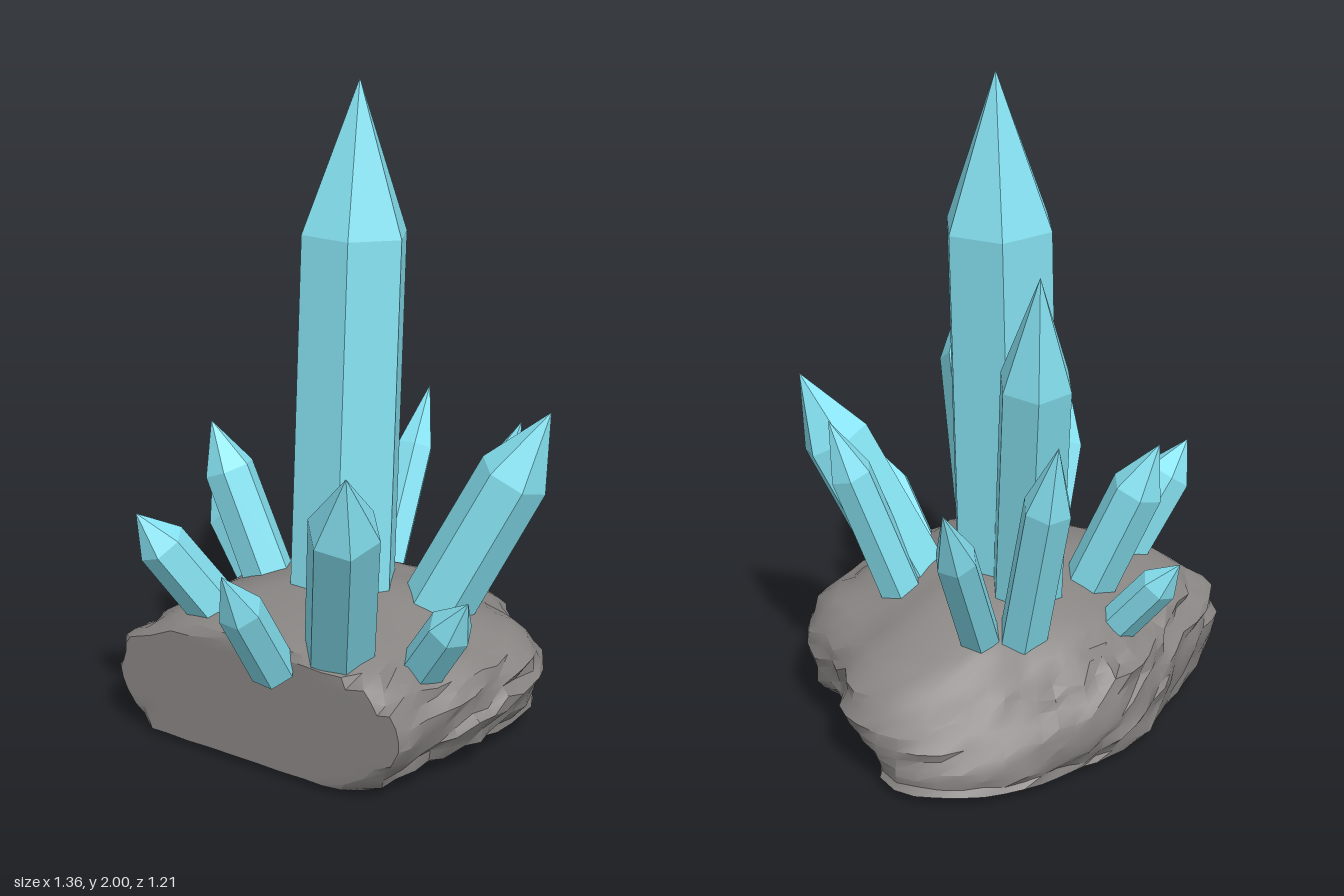
import * as THREE from 'three';
import { toCreasedNormals } from 'three/addons/utils/BufferGeometryUtils.js';

const UP = new THREE.Vector3(0, 1, 0);
const crystalMaterial = new THREE.MeshStandardMaterial({ color: 0x86e2f2, flatShading: true });
const rockMaterial = new THREE.MeshStandardMaterial({ color: 0x878482 });

// Repeatable noise in -1..1
function hash(i, j) {
  const s = Math.sin(i * 127.1 + j * 311.7) * 43758.5453;
  return 2 * (s - Math.floor(s)) - 1;
}

// Six-sided prism with a pointed end, running from base to tip
function crystal(name, base, tip, radius, shoulder = 0.72, phase = 0) {
  const from = new THREE.Vector3(...base);
  const axis = new THREE.Vector3(...tip).sub(from);
  const length = axis.length();
  const profile = [[0, 0], [radius * 1.04, 0], [radius, length * shoulder], [0, length]]
    .map(([x, y]) => new THREE.Vector2(x, y));
  const mesh = new THREE.Mesh(new THREE.LatheGeometry(profile, 6, phase), crystalMaterial);
  mesh.position.copy(from);
  mesh.quaternion.setFromUnitVectors(UP, axis.normalize());
  mesh.name = name;
  return mesh;
}

// Hollows in the rock flank: [angle from +x towards +z, angular width, level, level width, depth]
const HOLLOWS = [
  [0.47, 0.27, 0, 0.24, 0.4],   // undercut at the front corner
  [-0.45, 0.3, 0.45, 0.2, 0.1], // straighter slope towards the back
  [-0.9, 0.35, 0, 0.2, 0.07],   // undercut at the back
];
function hollow(angle, level) {
  return HOLLOWS.reduce((sum, [a, aw, l, lw, depth]) =>
    sum + depth * Math.exp(-(((angle - a) / aw) ** 2) - ((level - l) / lw) ** 2), 0);
}

// Rock: plan outline scaled ring by ring, with a different side profile in each direction
function rock() {
  const outline = new THREE.CatmullRomCurve3([
    [-0.56, -0.5], [-0.36, -0.56], [-0.1, -0.54], [0.1, -0.545], [0.31, -0.5], [0.47, -0.4],
    [0.61, -0.24], [0.7, -0.02], [0.69, 0.24], [0.5, 0.39], [0.28, 0.57], [0, 0.58],
    [-0.2, 0.51], [-0.45, 0.46], [-0.58, 0.2], [-0.62, -0.2],
  ].map(([x, z]) => new THREE.Vector3(x, 0, z)), true);

  // Each profile: [fraction of the outline, height]
  const profile = (points) => new THREE.CatmullRomCurve3(
    points.map(([f, y]) => new THREE.Vector3(f, y, 0)));
  const right = profile([[0.98, 0.025], [0.95, 0.08], [0.94, 0.15], [0.84, 0.24], [0.69, 0.32], [0.49, 0.4], [0.28, 0.47], [0, 0.5]]);
  const front = profile([[0.7, 0.015], [0.88, 0.08], [1, 0.2], [0.97, 0.29], [0.86, 0.37], [0.63, 0.42], [0.35, 0.48], [0, 0.51]]);
  const left = profile([[0.76, 0.02], [0.9, 0.12], [1, 0.22], [0.94, 0.3], [0.8, 0.37], [0.6, 0.44], [0.3, 0.49], [0, 0.51]]);
  const back = profile([[0.94, 0.025], [0.98, 0.1], [1, 0.2], [0.97, 0.28], [0.88, 0.34], [0.64, 0.42], [0.35, 0.48], [0, 0.51]]);

  const around = 56, rows = 18;
  const positions = [0, 0, 0], index = []; // vertex 0 is the centre of the underside
  for (let j = 0; j <= rows; j++) {
    for (let i = 0; i < around; i++) {
      const p = outline.getPoint(i / around);
      const t = j / rows;
      const a = Math.atan2(p.z, p.x), c = Math.cos(a) ** 2, s = Math.sin(a) ** 2;
      const shape = (p.x > 0 ? right : left).getPoint(t).multiplyScalar(c)
        .addScaledVector((p.z > 0 ? front : back).getPoint(t), s);
      // Chipped ledges on the front and back flanks, smooth elsewhere
      const rough = t > 0.62 ? 0 : (0.3 + 0.7 * s) * (j ? 1 : 0.3);
      const chip = hash(Math.floor((i + j * 2) / 3), Math.floor(j / 2)) * 0.035 + hash(i, j) * 0.018;
      const f = shape.x + rough * (chip - 0.02) - hollow(a, t);
      const y = Math.max(0.005, shape.y + rough * hash(j, i + 9) * 0.014);
      const z = p.z * f;
      // The left side is broken off along a flat plane
      positions.push(Math.max(p.x * f, -0.46 + 0.08 * (z + 0.5)), y, z);
    }
  }
  for (let i = 0; i < around; i++) {
    const n = (i + 1) % around;
    index.push(0, 1 + i, 1 + n);
    for (let j = 0; j < rows; j++) {
      const a = 1 + j * around + i, b = 1 + j * around + n;
      index.push(a, a + around, b, b, a + around, b + around);
    }
  }
  const geometry = new THREE.BufferGeometry();
  geometry.setAttribute('position', new THREE.Float32BufferAttribute(positions, 3));
  geometry.setIndex(index);
  const mesh = new THREE.Mesh(toCreasedNormals(geometry, 0.5), rockMaterial);
  mesh.name = 'rockBase';
  return mesh;
}

export function createModel() {
  const group = new THREE.Group();
  group.name = 'crystalCluster';
  group.add(
    rock(),
    crystal('mainCrystal', [-0.015, 0.38, -0.005], [0.09, 2, -0.02], 0.168, 0.725),
    crystal('tallBackCrystal', [0.105, 0.4, -0.13], [0.34, 1.51, -0.28], 0.11, 0.705),
    crystal('rightCrystal', [0.285, 0.31, -0.078], [0.645, 0.91, -0.14], 0.062, 0.7),
    crystal('backRightCrystal', [0.255, 0.33, -0.185], [0.405, 1.06, -0.37], 0.073, 0.72),
    crystal('frontCrystal', [0.1, 0.39, 0.25], [0.245, 1.07, 0.56], 0.108, 0.7, 0.3),
    crystal('frontSideCrystal', [0.2, 0.37, 0.235], [0.345, 0.98, 0.4], 0.067, 0.72),
    crystal('smallFrontCrystal', [-0.16, 0.365, 0.4], [-0.235, 0.65, 0.6], 0.068, 0.62),
    crystal('frontLeftCrystal', [-0.31, 0.43, 0.21], [-0.605, 1.1, 0.455], 0.104, 0.72, 0.3),
    crystal('sideCrystal', [-0.425, 0.36, 0.055], [-0.685, 0.755, 0.09], 0.067, 0.66),
    crystal('backLeftCrystal', [-0.315, 0.43, -0.265], [-0.5, 0.76, -0.4], 0.077, 0.68),
    crystal('backCrystal', [-0.045, 0.42, -0.265], [-0.07, 0.915, -0.475], 0.08, 0.7),
    crystal('smallBackCrystal', [0.045, 0.36, -0.4], [0.07, 0.615, -0.605], 0.058, 0.68),
  );
  return group;
}
